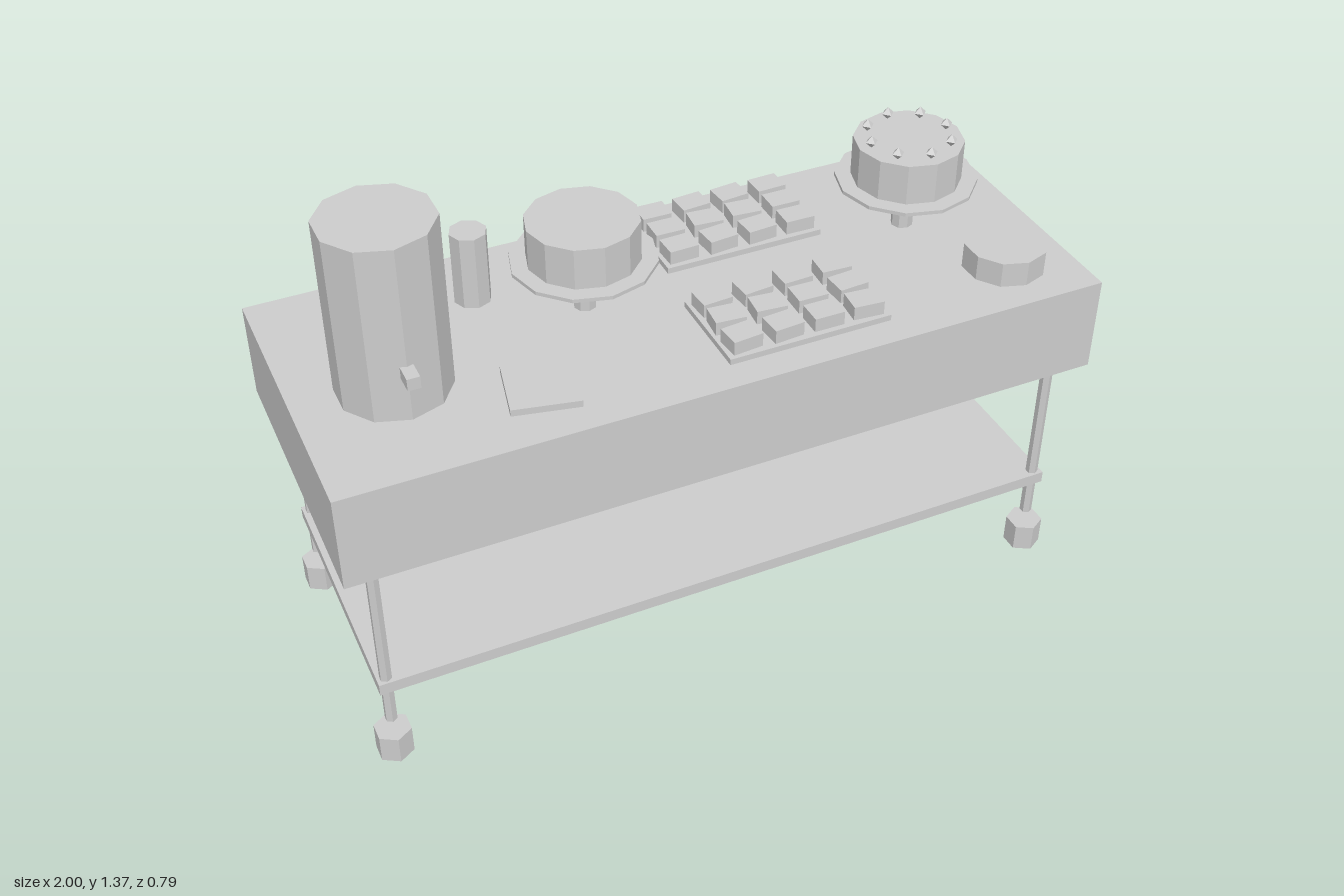
import * as THREE from 'three';

export function createModel() {
  const model = new THREE.Group();
  model.name = 'dessertCart';
  const grey = new THREE.MeshStandardMaterial({ color: 0xcccccc, flatShading: true, side: THREE.DoubleSide });
  grey.name = 'plain grey';

  function add(name, geometry, x, y, z, parent = model) {
    const mesh = new THREE.Mesh(geometry, grey);
    mesh.name = name;
    mesh.position.set(x, y, z);
    parent.add(mesh);
    return mesh;
  }
  // Both helpers take the bottom and top heights
  const box = (name, w, d, y0, y1, x, z, parent) =>
    add(name, new THREE.BoxGeometry(w, y1 - y0, d), x, (y0 + y1) / 2, z, parent);
  const drum = (name, r, sides, y0, y1, x, z, parent) =>
    add(name, new THREE.CylinderGeometry(r, r, y1 - y0, sides), x, (y0 + y1) / 2, z, parent);
  function group(name) {
    const g = new THREE.Group();
    g.name = name;
    model.add(g);
    return g;
  }

  // Table cover: a box open at the bottom (bottom face removed from the index)
  const top = 0.9;
  const cover = new THREE.BoxGeometry(2, 0.26, 0.79);
  const index = Array.from(cover.index.array);
  index.splice(18, 6);
  cover.setIndex(index);
  cover.clearGroups();
  add('tableCover', cover, 0, 0.77, 0);

  // Lower shelf, legs and wheels
  box('lowerShelf', 1.89, 0.704, 0.222, 0.255, 0, 0);
  for (const sx of [-1, 1]) for (const sz of [-1, 1]) {
    drum('leg', 0.016, 6, 0.112, 0.892, sx * 0.922, sz * 0.331);
    drum('wheel', 0.0485, 6, 0, 0.078, sx * 0.922, sz * 0.331);
  }

  // Drink urn with tap
  drum('urn', 0.142, 10, top, 1.365, -0.75, 0.055);
  box('urnTap', 0.032, 0.055, 1.02, 1.052, -0.75, 0.215);

  // Cup stack, napkins and bowl
  drum('cupStack', 0.048, 8, top, 1.1, -0.465, -0.201);
  box('napkins', 0.17, 0.17, top, 0.918, -0.443, 0.214).rotation.y = -0.21;
  drum('bowl', 0.108, 10, top, 0.968, 0.82, 0.217);

  // Cakes on stands, one with a ring of berries
  function cakeStand(name, x, z, berries) {
    const g = group(name);
    drum('standStem', 0.029, 8, top, 1.036, x, z, g);
    drum('standPlate', 0.185, 12, 1.036, 1.046, x, z, g);
    drum('cake', 0.143, 12, 1.046, 1.156, x, z, g);
    for (let i = 0; i < berries; i++) {
      const a = i / berries * Math.PI * 2;
      add('berry', new THREE.OctahedronGeometry(0.017), x + Math.cos(a) * 0.11, 1.172, z + Math.sin(a) * 0.11, g);
    }
  }
  cakeStand('plainCakeStand', -0.222, -0.057, 0);
  cakeStand('berryCakeStand', 0.68, -0.057, 8);

  // Pastry trays, pastries slightly turned
  function pastryTray(name, x, z) {
    const g = group(name);
    box('tray', 0.437, 0.26, top, 0.916, x, z, g);
    for (let i = 0; i < 4; i++) for (let j = 0; j < 3; j++) {
      const pastry = box('pastry', 0.08, 0.065, 0.916, 0.953, x + (i - 1.5) * 0.111, z + (j - 1) * 0.083, g);
      pastry.rotation.y = 0.1 * Math.sin(i * 5.3 + j * 2.9 + x * 40);
    }
  }
  pastryTray('backPastryTray', 0.239, -0.224);
  pastryTray('frontPastryTray', 0.217, 0.184);

  return model;
}
